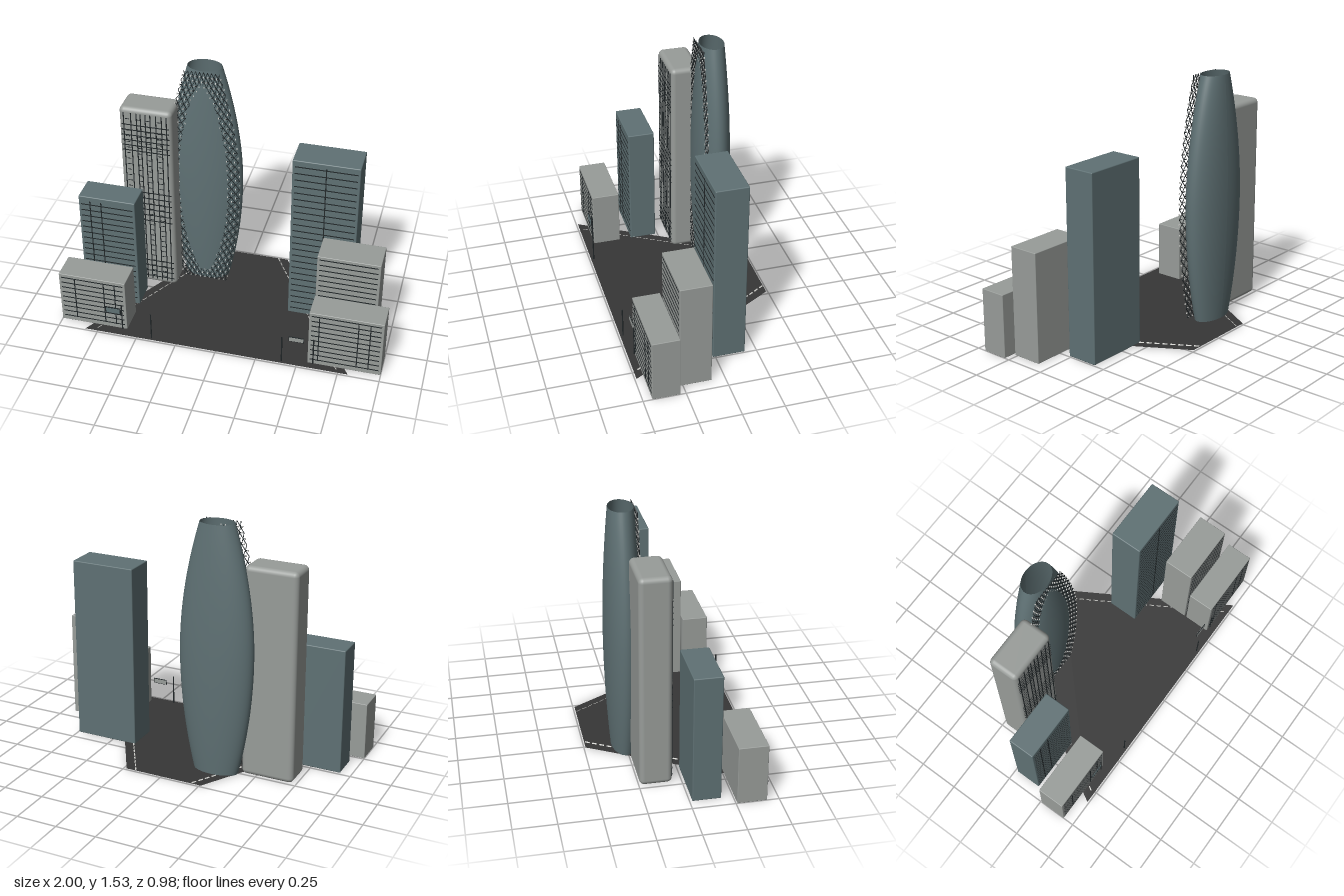
import * as THREE from 'three';
import { mergeGeometries } from 'three/addons/utils/BufferGeometryUtils.js';
import { RoundedBoxGeometry } from 'three/addons/geometries/RoundedBoxGeometry.js';

const material = (name, color, side = THREE.FrontSide) => {
  const m = new THREE.MeshStandardMaterial({ color, side });
  m.name = name;
  return m;
};

const range = (from, to, step) => {
  const out = [];
  for (let v = from; v <= to + 1e-6; v += step) out.push(v);
  return out;
};

// box given by its centre and size
const boxAt = (x, y, z, w, h, d) => new THREE.BoxGeometry(w, h, d).translate(x, y, z);

// thin strip of rectangular section between two points
function beam(a, b, width, depth) {
  const dir = b.clone().sub(a);
  const g = new THREE.BoxGeometry(width, dir.length(), depth);
  const q = new THREE.Quaternion().setFromUnitVectors(new THREE.Vector3(0, 1, 0), dir.normalize());
  const mid = a.clone().add(b).multiplyScalar(0.5);
  return g.applyQuaternion(q).translate(mid.x, mid.y, mid.z);
}

export function createModel() {
  const model = new THREE.Group();
  const stone = material('pale grey stone', 0x989c99);
  const slate = material('slate blue', 0x5f7174);
  const glass = material('slate glass', 0x5f7174, THREE.DoubleSide);
  const asphalt = material('asphalt', 0x363636, THREE.DoubleSide);
  const dark = material('dark frame', 0x22282a);
  const paint = material('pale paint', 0xc8c8c4);

  const add = (name, geometry, mat, parent = model) => {
    const mesh = new THREE.Mesh(geometry, mat);
    mesh.name = name;
    parent.add(mesh);
    return mesh;
  };

  // road plaza: trapezoid narrowing to the back
  const plaza = new THREE.Shape([[-0.83, -0.49], [0.81, -0.49], [0.23, 0.49], [-0.26, 0.49]]
    .map(p => new THREE.Vector2(...p)));
  add('plaza', new THREE.ShapeGeometry(plaza).rotateX(-Math.PI / 2).translate(0, 0.003, 0), asphalt);

  // dashed lane lines along both slanted edges
  const dashes = [];
  for (const [x0, x1] of [[-0.2, -0.765], [0.17, 0.745]]) {
    const at = t => new THREE.Vector3(x0 + (x1 - x0) * t, 0.005, -0.485 + 0.965 * t);
    for (let i = 0; i < 24; i++) dashes.push(beam(at(i / 24), at((i + 0.65) / 24), 0.008, 0.002));
  }
  add('laneLines', mergeGeometries(dashes), paint);

  // buildings with window lines on their fronts
  const buildings = [
    { name: 'leftHighRise', x: [-0.73, -0.405], z: [-0.245, -0.055], h: 1.292, r: 0.03, mat: stone,
      rows: [...range(0.05, 0.2, 0.042), ...range(0.49, 0.71, 0.042), ...range(1.0, 1.2, 0.036)],
      cols: [-0.7, -0.655, -0.62, -0.595, -0.565, -0.535, -0.5, -0.465, -0.435] },
    { name: 'leftMidBlock', x: [-0.932, -0.577], z: [0.015, 0.182], h: 0.777, r: 0.006, mat: slate,
      rows: range(0.05, 0.74, 0.042), cols: [-0.86, -0.79] },
    { name: 'leftLowBlock', x: [-1, -0.578], z: [0.257, 0.43], h: 0.356, r: 0.004, mat: stone,
      rows: range(0.035, 0.34, 0.037), cols: [-0.9, -0.715, -0.645] },
    { name: 'rightHighRise', x: [0.343, 0.744], z: [-0.18, 0.016], h: 1.14, r: 0.006, mat: slate,
      rows: range(0.04, 1.11, 0.046), cols: [0.545] },
    { name: 'rightMidBlock', x: [0.558, 0.932], z: [0.08, 0.268], h: 0.67, r: 0.004, mat: stone,
      rows: range(0.04, 0.65, 0.038), cols: [] },
    { name: 'rightLowBlock', x: [0.558, 1], z: [0.282, 0.446], h: 0.39, r: 0.004, mat: stone,
      rows: range(0.035, 0.37, 0.037), cols: [0.62, 0.852, 0.922] },
  ];
  for (const b of buildings) {
    const group = new THREE.Group();
    group.name = b.name;
    model.add(group);
    const w = b.x[1] - b.x[0], d = b.z[1] - b.z[0], cx = (b.x[0] + b.x[1]) / 2;
    add('walls', new RoundedBoxGeometry(w, b.h, d, 3, b.r)
      .translate(cx, b.h / 2, (b.z[0] + b.z[1]) / 2), b.mat, group);
    const zf = b.z[1] + 0.0005;
    const lines = b.rows.map(y => boxAt(cx, y, zf, w - 0.03, 0.006, 0.003));
    for (const x of b.cols) lines.push(boxAt(x, b.h / 2, zf, 0.006, b.h - 0.06, 0.004));
    add('windowLines', mergeGeometries(lines), dark, group);
  }

  // small window ledges between the mullions of the tall left building
  const ledges = [];
  for (const y of range(0.06, 1.24, 0.04))
    for (const x of [-0.677, -0.607, -0.55, -0.482]) ledges.push(boxAt(x, y, -0.0545, 0.026, 0.004, 0.003));
  add('windowLedges', mergeGeometries(ledges), dark);

  // bulging tower: elliptical cross-section swelling at mid height
  const towerX = -0.25, towerZ = -0.258, towerH = 1.53, belly = 0.75;
  const profile = (y, max, lowLoss, highLoss) => y < belly
    ? max - lowLoss * ((belly - y) / belly) ** 2
    : max - highLoss * ((y - belly) / (towerH - belly)) ** 1.9;
  const radiusX = y => profile(y, 0.231, 0.091, 0.126);
  const radiusZ = y => profile(y, 0.107, 0.032, 0.034);
  const tower = new THREE.CylinderGeometry(1, 1, towerH, 48, 28, true);
  const pos = tower.attributes.position, uv = tower.attributes.uv;
  for (let i = 0; i < pos.count; i++) {
    const y = pos.getY(i) + towerH / 2, a = uv.getX(i) * Math.PI * 2 + Math.PI;
    pos.setXYZ(i, towerX + Math.sin(a) * radiusX(y), y, towerZ + Math.cos(a) * radiusZ(y));
  }
  tower.computeVertexNormals();
  add('bulgingTower', tower, glass);

  // flat diagonal lattice standing before the tower, following its outline
  const latticeZ = -0.18, rows = 46, cols = 18, struts = [], glints = [];
  const node = (i, j) => {
    const y = 0.005 + (towerH - 0.01) * i / rows;
    return new THREE.Vector3(towerX + (j / cols * 2 - 1) * radiusX(y), y, latticeZ);
  };
  const exposed = p => ((p.x - towerX) / radiusX(p.y)) ** 2
    + ((latticeZ - towerZ) / radiusZ(p.y)) ** 2 > 0.9;
  for (let i = 0; i < rows; i++) {
    for (let j = 0; j <= cols; j++) {
      const a = node(i, j);
      if (!exposed(a)) continue;
      for (const k of [j - 1, j + 1]) {
        if (k < 0 || k > cols || (i + j) % 2) continue;
        struts.push(beam(a, node(i + 1, k), 0.003, 0.004));
      }
      if ((i + j) % 2) {
        if (j < cols) struts.push(beam(a, node(i, j + 1), 0.003, 0.004));
        glints.push(boxAt(a.x, a.y, latticeZ, 0.005, 0.009, 0.007));
      }
    }
  }
  add('latticeStruts', mergeGeometries(struts), dark);
  add('latticeJoints', mergeGeometries(glints), paint);

  // street posts at the front edge, with shorter ones against the low blocks
  for (const [x, z] of [[-0.408, 0.472], [0.405, 0.472], [-0.607, 0.433], [0.592, 0.449]])
    add('streetPost', new THREE.CylinderGeometry(0.004, 0.004, 0.19, 8).translate(x, 0.095, z), dark);

  // small hanging signs
  add('leftSignFrame', boxAt(-0.66, 0.14, 0.436, 0.096, 0.044, 0.006), dark);
  add('leftSign', boxAt(-0.66, 0.14, 0.438, 0.086, 0.034, 0.006), slate);
  add('rightSignFrame', boxAt(0.485, 0.157, 0.436, 0.092, 0.032, 0.006), dark);
  add('rightSign', boxAt(0.485, 0.157, 0.436, 0.086, 0.026, 0.009), stone);

  return model;
}
